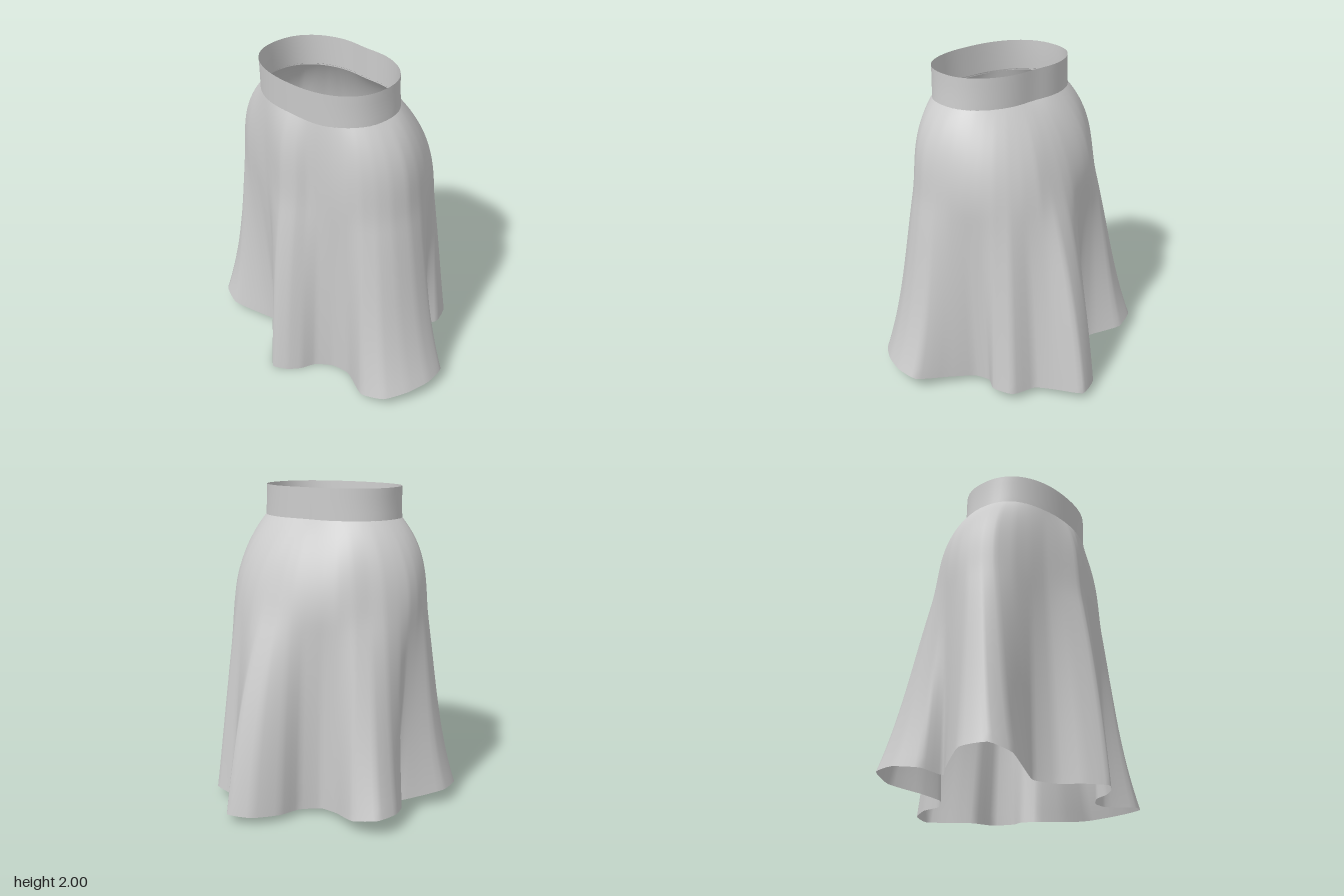
import * as THREE from 'three';

const CX = -0.045, CZ = 0.18;      // waist centre
const WAIST_Y = 1.81, HIP_Y = 1.2;

// Fold control points, front centre round to the left side and back:
// hip x, hip z, hem x, hem z
const FOLDS = [
  [-0.05, 0.60, -0.05, 0.735], [0.05, 0.575, 0.04, 0.69], [0.11, 0.53, 0.10, 0.62],
  [0.18, 0.50, 0.14, 0.53], [0.27, 0.48, 0.24, 0.46], [0.37, 0.46, 0.37, 0.45],
  [0.46, 0.43, 0.57, 0.54], [0.53, 0.37, 0.72, 0.49], [0.58, 0.29, 0.80, 0.35],
  [0.61, 0.18, 0.835, 0.20], [0.60, 0.07, 0.81, 0.05], [0.56, -0.03, 0.62, -0.03],
  [0.51, -0.12, 0.46, -0.12], [0.46, -0.20, 0.42, -0.22], [0.41, -0.27, 0.47, -0.32],
  [0.34, -0.33, 0.42, -0.45], [0.25, -0.37, 0.26, -0.48], [0.15, -0.41, 0.18, -0.58],
  [0.06, -0.43, 0.08, -0.735], [-0.05, -0.42, -0.07, -0.68], [-0.14, -0.39, -0.17, -0.53],
  [-0.22, -0.35, -0.20, -0.38], [-0.32, -0.31, -0.30, -0.28], [-0.41, -0.28, -0.44, -0.31],
  [-0.50, -0.23, -0.62, -0.40], [-0.57, -0.16, -0.77, -0.35], [-0.63, -0.09, -0.80, -0.20],
  [-0.67, 0.00, -0.74, -0.04], [-0.69, 0.07, -0.62, 0.02], [-0.70, 0.15, -0.69, 0.10],
  [-0.70, 0.23, -0.835, 0.31], [-0.68, 0.32, -0.815, 0.49], [-0.63, 0.39, -0.67, 0.54],
  [-0.52, 0.44, -0.44, 0.46], [-0.40, 0.47, -0.34, 0.43], [-0.28, 0.50, -0.23, 0.51],
  [-0.17, 0.55, -0.15, 0.64],
];

// Rounded waist outline; angle 0 is the front, growing towards +x
function waistPoint(angle) {
  const s = Math.sin(angle), c = Math.cos(angle);
  const r = Math.pow(Math.abs(s / 0.458) ** 2.3 + Math.abs(c / 0.316) ** 2.3, -1 / 2.3);
  const dent = c < 0 ? 0.015 * Math.exp(-((r * s / 0.12) ** 2)) : 0;
  return [CX + r * s, CZ + r * c + dent];
}

// Closed surface from rings of points, top to bottom
function loft(rows, cols, pointAt) {
  const pos = [], idx = [];
  for (let i = 0; i <= rows; i++) {
    for (let j = 0; j < cols; j++) {
      pos.push(...pointAt(i / rows, j / cols));
      if (i === rows) continue;
      const a = i * cols + j, b = i * cols + (j + 1) % cols;
      idx.push(a, a + cols, b, b, a + cols, b + cols);
    }
  }
  const geo = new THREE.BufferGeometry();
  geo.setAttribute('position', new THREE.Float32BufferAttribute(pos, 3));
  geo.setIndex(idx);
  geo.computeVertexNormals();
  return geo;
}

const closedCurve = (k) => new THREE.CatmullRomCurve3(
  FOLDS.map((f) => new THREE.Vector3(f[k], 0, f[k + 1])), true, 'catmullrom', 0.25);

// Smooth step from a to b with given end slopes
function hermite(a, b, slopeA, slopeB, t) {
  const t2 = t * t, t3 = t2 * t;
  return a + (b - a) * (3 * t2 - 2 * t3) + slopeA * (t3 - 2 * t2 + t) + slopeB * (t3 - t2);
}

export function createModel() {
  const group = new THREE.Group();
  const cloth = new THREE.MeshStandardMaterial({ color: 0xcccccc, side: THREE.DoubleSide });
  const add = (name, geo) => {
    const mesh = new THREE.Mesh(geo, cloth);
    mesh.name = name;
    group.add(mesh);
  };

  // Skirt: waist swells to the hips, then opens into deep folds at the hem
  const hipCurve = closedCurve(0), hemCurve = closedCurve(2);
  add('skirt', loft(36, FOLDS.length * 4, (v, u) => {
    const hip = hipCurve.getPoint(u), hem = hemCurve.getPoint(u);
    const angle = Math.atan2(hip.x - CX, hip.z - CZ), c = Math.cos(angle);
    const [wx, wz] = waistPoint(angle);
    const hemY = Math.max(0, 0.135 * hem.x ** 2 + 0.07 * Math.max(0, -hem.z));
    const y = WAIST_Y + (hemY - WAIST_Y) * Math.pow(v, 1.35);
    const upper = WAIST_Y - HIP_Y, lower = HIP_Y - hemY;
    const hipSlope = 0.8 + 0.7 * c * c, hemSlope = 1.8 - 1.2 * c * c;
    const waistSlope = 3 + Math.min(0, c);
    const profile = (w, h, b) => (y > HIP_Y
      ? hermite(w, h, waistSlope * (h - w), hipSlope * (b - h) * upper / lower, (WAIST_Y - y) / upper)
      : hermite(h, b, hipSlope * (b - h), hemSlope * (b - h), (HIP_Y - y) / lower));
    return [profile(wx, hip.x, hem.x), y, profile(wz, hip.z, hem.z)];
  }));

  // Waistband: upright strip standing on the skirt top, leaning slightly forward
  add('waistband', loft(4, 72, (v, u) => {
    const [x, z] = waistPoint(u * Math.PI * 2);
    const k = 0.985 + 0.02 * v * v;
    return [CX + (x - CX) * k, 2 - 0.2 * v, CZ + (z - CZ) * (1.02 - 0.015 * v) + 0.004 * (1 - v)];
  }));

  return group;
}
